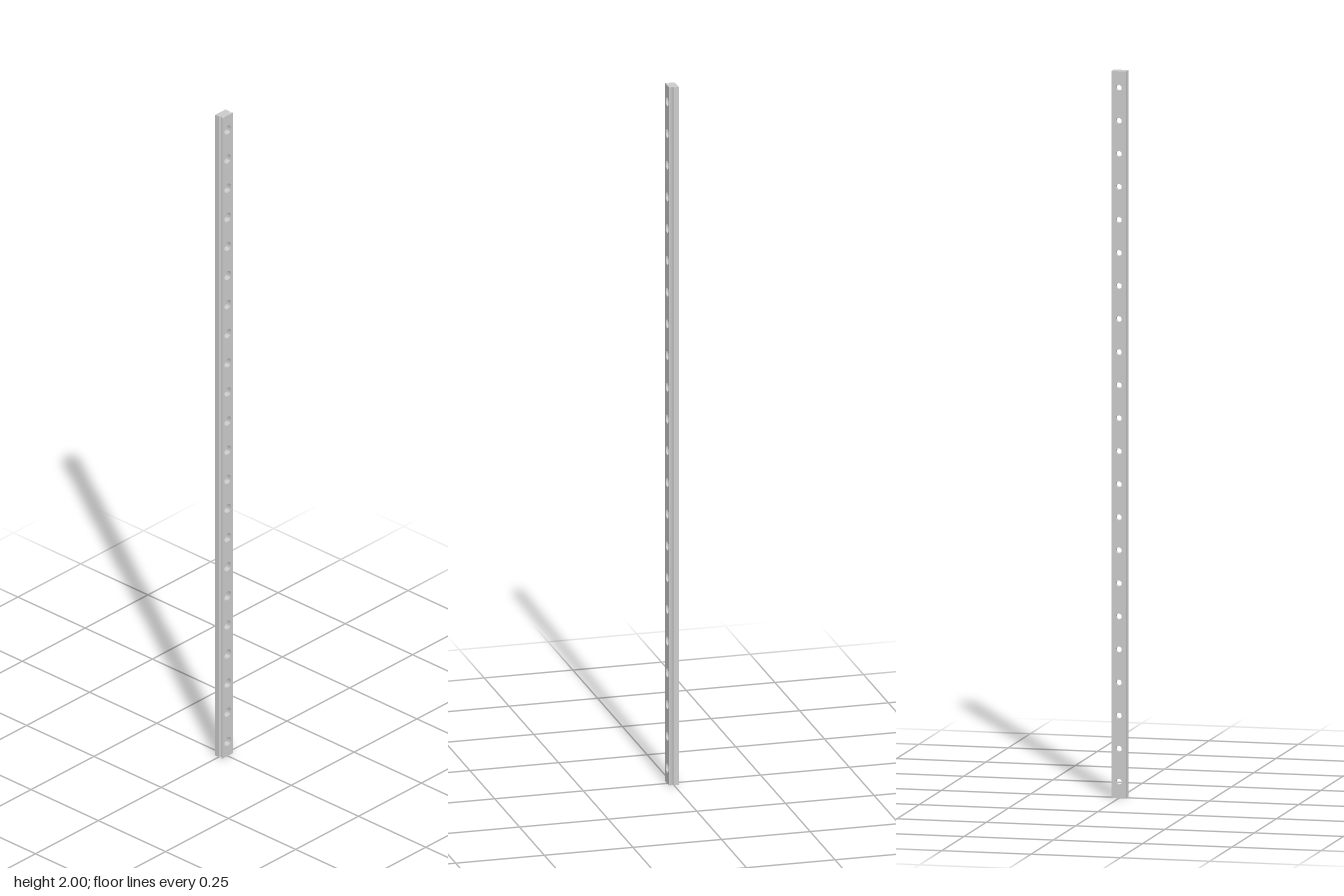
import * as THREE from 'three';
import { toCreasedNormals } from 'three/addons/utils/BufferGeometryUtils.js';

const LENGTH = 2, HALF_W = 0.0205, HALF_D = 0.0136;
const HOLES = 22, PITCH = LENGTH / HOLES;
const BORE_R = 0.0134, HOLE_R = 0.008, SHELF_Z = -0.0023;

// One flank of the rail as (x, z), back to front, with the ball groove
const FLANK = [
  [HALF_W, -HALF_D], [HALF_W, 0.0005], [0.016, 0.0038],
  [0.016, 0.0063], [HALF_W, 0.0095], [HALF_W, HALF_D],
];

export function createModel() {
  const rail = new THREE.Group();
  rail.name = 'linearGuideRail';
  const material = new THREE.MeshStandardMaterial({ color: 0xcccccc });
  const holeY = i => (i + 0.5) * PITCH;

  const add = (name, geometry) => {
    const mesh = new THREE.Mesh(geometry, material);
    mesh.name = name;
    rail.add(mesh);
    return mesh;
  };

  // Flat long face pierced by a row of round holes
  const piercedFace = radius => {
    const shape = new THREE.Shape();
    shape.moveTo(-HALF_W, 0).lineTo(HALF_W, 0).lineTo(HALF_W, LENGTH).lineTo(-HALF_W, LENGTH);
    for (let i = 0; i < HOLES; i++) {
      shape.holes.push(new THREE.Path().absarc(0, holeY(i), radius, 0, Math.PI * 2, true));
    }
    return new THREE.ShapeGeometry(shape, 16);
  };
  add('frontFace', piercedFace(BORE_R).translate(0, 0, HALF_D));
  add('backFace', piercedFace(HOLE_R).rotateY(Math.PI).translate(0, 0, -HALF_D));

  // Grooved flanks, swept along the length
  const mirrored = FLANK.map(([x, z]) => [-x, z]).reverse();
  [['leftFlank', FLANK], ['rightFlank', mirrored]].forEach(([name, path]) => {
    const pos = [];
    for (let i = 0; i < path.length - 1; i++) {
      const [ax, az] = path[i], [bx, bz] = path[i + 1];
      pos.push(bx, 0, bz, ax, 0, az, ax, LENGTH, az);
      pos.push(bx, 0, bz, ax, LENGTH, az, bx, LENGTH, bz);
    }
    const geometry = new THREE.BufferGeometry();
    geometry.setAttribute('position', new THREE.Float32BufferAttribute(pos, 3));
    geometry.computeVertexNormals();
    add(name, geometry);
  });

  // End caps with the rail's cross-section
  const section = sign => new THREE.ShapeGeometry(new THREE.Shape(
    [...FLANK, ...mirrored].map(([x, z]) => new THREE.Vector2(x, z * sign))));
  add('topEnd', section(-1).rotateX(-Math.PI / 2).translate(0, LENGTH, 0));
  add('bottomEnd', section(1).rotateX(Math.PI / 2));

  // Counterbored screw holes, running front to back
  const bore = toCreasedNormals(new THREE.LatheGeometry([
    new THREE.Vector2(BORE_R, HALF_D), new THREE.Vector2(BORE_R, SHELF_Z),
    new THREE.Vector2(HOLE_R, SHELF_Z), new THREE.Vector2(HOLE_R, -HALF_D),
  ], 32).rotateX(Math.PI / 2), 0.6);
  for (let i = 0; i < HOLES; i++) add('screwHole', bore).position.y = holeY(i);

  return rail;
}
